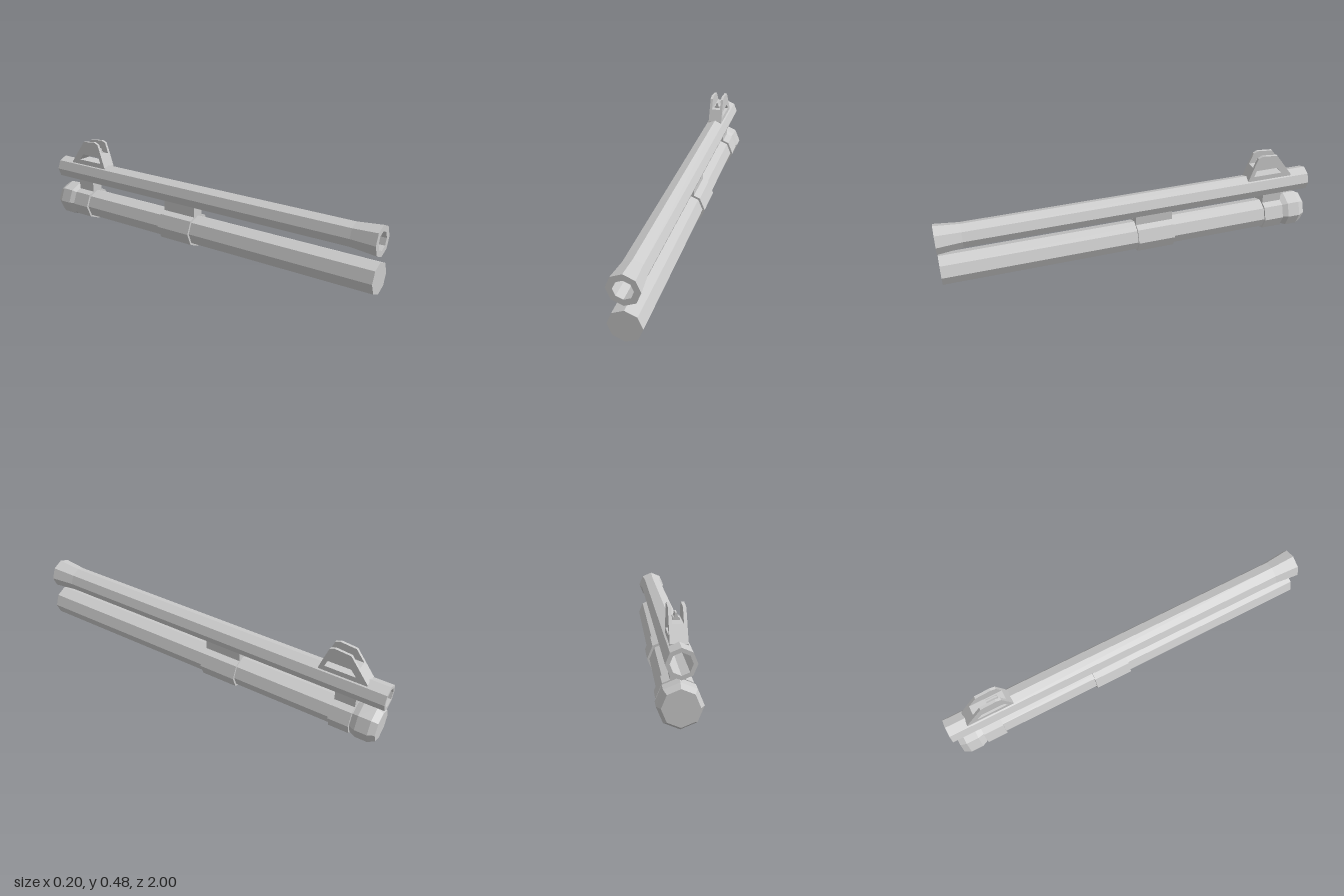
import * as THREE from 'three';

const BARREL_Y = 0.284, TUBE_Y = 0.1;

export function createModel() {
  const root = new THREE.Group();
  const material = new THREE.MeshStandardMaterial({ color: 0xcccccc, flatShading: true });

  function add(name, geometry, x = 0, y = 0, z = 0, parent = root) {
    const mesh = new THREE.Mesh(geometry, material);
    mesh.name = name;
    mesh.position.set(x, y, z);
    parent.add(mesh);
    return mesh;
  }

  // Eight-sided turned part along z; profile pairs are [radius, z], z rising on the outside
  const turned = (profile) => new THREE.LatheGeometry(
    profile.map(([r, z]) => new THREE.Vector2(r, z)), 8).rotateX(Math.PI / 2);

  // Side profile of [-z, y] points extruded across x, centred on x = 0
  function sideExtrude(points, width, hole) {
    const shape = new THREE.Shape(points.map((p) => new THREE.Vector2(...p)));
    if (hole) shape.holes.push(new THREE.Path(hole.map((p) => new THREE.Vector2(...p))));
    return new THREE.ExtrudeGeometry(shape, { depth: width, bevelEnabled: false })
      .translate(0, 0, -width / 2).rotateY(Math.PI / 2);
  }

  // Hollow barrel, flared at the front
  add('barrel', turned([
    [0.047, -1], [0.065, -1], [0.065, 0.87], [0.078, 1], [0.047, 1], [0.047, -1],
  ]), 0, BARREL_Y);

  // Closed lower tube and its chamfered end cap
  add('lowerTube', turned([[0, -0.88], [0.081, -0.88], [0.081, 1], [0, 1]]), 0, TUBE_Y);
  add('endCap', turned([
    [0, -0.988], [0.08, -0.988], [0.098, -0.955], [0.098, -0.89], [0.084, -0.86], [0, -0.86],
  ]), 0, TUBE_Y);

  // Bands around the tube, each with a lug up to the barrel
  for (const [name, back, front] of [['middleBand', -0.22, -0.02], ['endBand', -0.857, -0.75]]) {
    const band = new THREE.Group();
    band.name = name;
    root.add(band);
    add('ring', turned([[0, back], [0.093, back], [0.093, front], [0, front]]), 0, TUBE_Y, 0, band);
    add('lug', new THREE.BoxGeometry(0.066, 0.075, front - back), 0, 0.1975, (front + back) / 2, band);
  }

  // Sight: pierced base, two wings and a stepped post
  const sight = new THREE.Group();
  sight.name = 'sight';
  root.add(sight);
  const window = [[0.68, 0.36], [0.84, 0.36], [0.812, 0.395], [0.692, 0.395]];
  add('sightBase', sideExtrude(
    [[0.65, 0.318], [0.9, 0.318], [0.9, 0.34], [0.848, 0.41], [0.674, 0.41], [0.65, 0.34]],
    0.076, window), 0, 0, 0, sight);
  const wing = sideExtrude(
    [[0.674, 0.41], [0.848, 0.41], [0.803, 0.47], [0.72, 0.478], [0.695, 0.468]], 0.014);
  for (const side of [-1, 1]) add(side > 0 ? 'leftWing' : 'rightWing', wing, side * 0.031, 0, 0, sight);

  const half = [[0.018, 0.405], [0.014, 0.42], [0.008, 0.422], [0.004, 0.44]];
  const outline = [...half, ...half.map(([x, y]) => [-x, y]).reverse()];
  const post = new THREE.Shape(outline.map((p) => new THREE.Vector2(...p)));
  add('post', new THREE.ExtrudeGeometry(post, { depth: 0.06, bevelEnabled: false }), 0, 0, -0.765, sight);

  return root;
}
